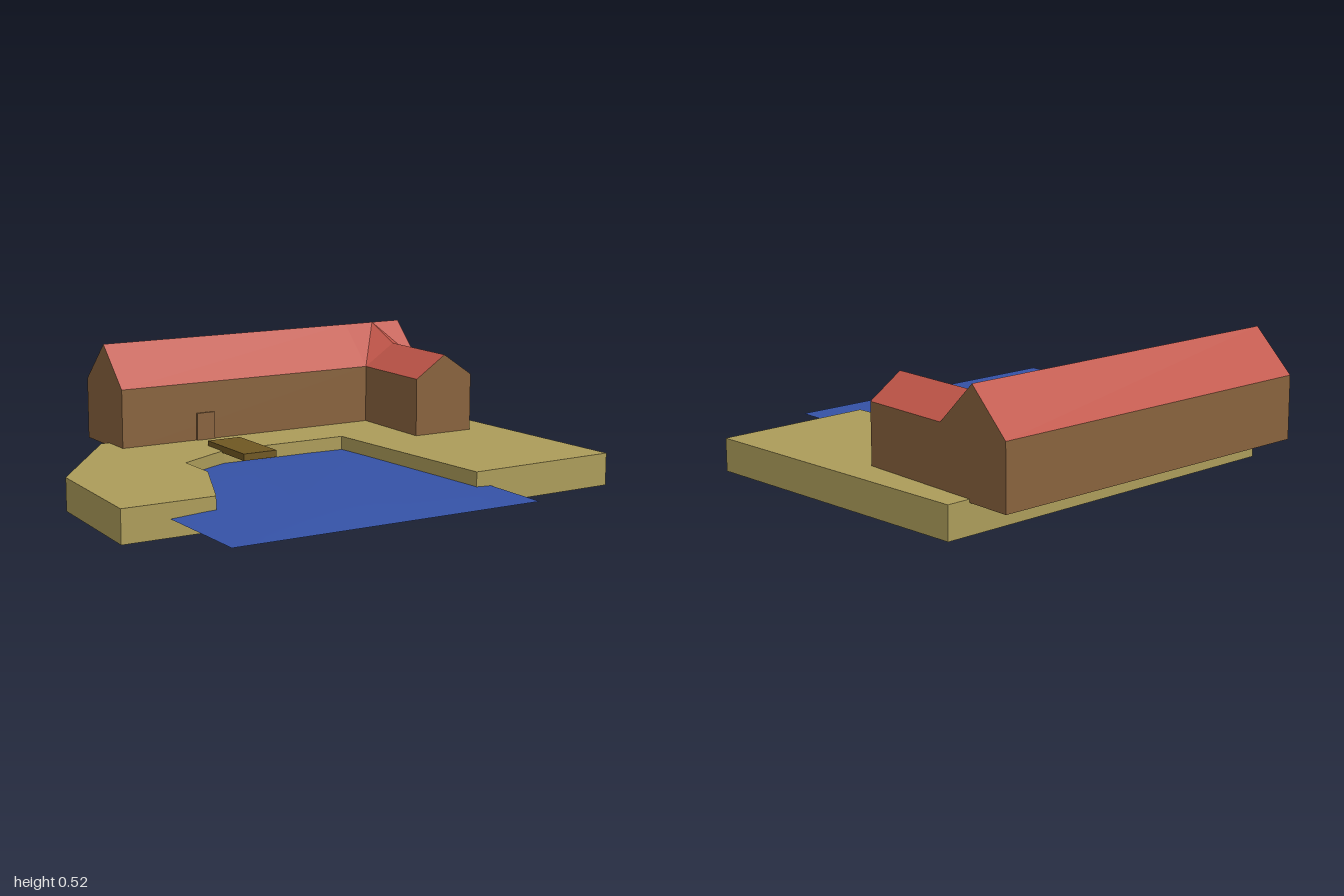
import * as THREE from 'three';

const mat = (name, color, side = THREE.FrontSide) => {
  const m = new THREE.MeshStandardMaterial({ color, side });
  m.name = name;
  return m;
};

// Flat faces from corner loops, fan-triangulated (counter-clockwise from outside)
function faces(name, loops, material) {
  const pos = [];
  for (const p of loops)
    for (let i = 1; i < p.length - 1; i++) pos.push(...p[0], ...p[i], ...p[i + 1]);
  const g = new THREE.BufferGeometry();
  g.setAttribute('position', new THREE.Float32BufferAttribute(pos, 3));
  g.computeVertexNormals();
  const mesh = new THREE.Mesh(g, material);
  mesh.name = name;
  return mesh;
}

function box(name, [x0, x1], [y0, y1], [z0, z1], material) {
  const mesh = new THREE.Mesh(new THREE.BoxGeometry(x1 - x0, y1 - y0, z1 - z0), material);
  mesh.position.set((x0 + x1) / 2, (y0 + y1) / 2, (z0 + z1) / 2);
  mesh.name = name;
  return mesh;
}

export function createModel() {
  const grass = mat('grass', 0xac9c5a);
  const wall = mat('wall', 0x88623d, THREE.DoubleSide);
  const tile = mat('roofTile', 0xc05548, THREE.DoubleSide);
  const sea = mat('water', 0x3552a6, THREE.DoubleSide);
  const plank = mat('plank', 0x6f5722);
  const dark = mat('darkLining', 0x050505);
  const model = new THREE.Group();
  model.name = 'waterfrontHouse';

  // Land slab with a bay cut into its front
  const outline = [
    [-0.61, -0.64], [-0.97, -0.15], [-1, 0.39], [-0.635, 0.39], [-0.48, 0.03], [-0.48, -0.15],
    [-0.25, -0.275], [0.29, -0.275], [0.37, 0.545], [1, 0.53], [0.915, -0.66],
  ];
  const shape = new THREE.Shape(outline.map(([x, z]) => new THREE.Vector2(x, -z)));
  const slab = new THREE.ExtrudeGeometry(shape, { depth: 0.127, bevelEnabled: false });
  slab.rotateX(-Math.PI / 2);
  const land = new THREE.Mesh(slab, grass);
  land.name = 'land';
  model.add(land);

  // Water sheet, slightly domed and rippled
  const sheet = new THREE.PlaneGeometry(1.25, 1.25, 8, 8);
  sheet.rotateX(-Math.PI / 2);
  const p = sheet.attributes.position;
  for (let i = 0; i < p.count; i++) {
    const u = p.getX(i) / 0.625, v = p.getZ(i) / 0.625;
    const dome = (1 - u * u) * (1 - v * v);
    p.setY(i, 0.067 + 0.014 * Math.sqrt(Math.max(dome, 0)) + 0.002 * dome * Math.sin(7 * u + 4 * v));
  }
  sheet.translate(-0.188, 0, 0.21);
  sheet.computeVertexNormals();
  const water = new THREE.Mesh(sheet, sea);
  water.name = 'water';
  model.add(water);

  // House: long main range with a wing at its left end, open underneath
  const x0 = -0.575, xw = 0.555, xm = 0.69, x1 = 0.822;
  const zb = -0.84, zr = -0.675, zf = -0.51, zw = -0.128;
  const yb = 0.115, ye = 0.36, yr = 0.52, yw = 0.45;
  const house = new THREE.Group();
  house.name = 'house';
  house.add(faces('walls', [
    [[x0, yb, zf], [xw, yb, zf], [xw, ye, zf], [x0, ye, zf]],
    [[x1, yb, zb], [x0, yb, zb], [x0, ye, zb], [x1, ye, zb]],
    [[x0, yb, zb], [x0, yb, zf], [x0, ye, zf], [x0, yr, zr], [x0, ye, zb]],
    [[x1, yb, zf], [x1, yb, zb], [x1, ye, zb], [x1, yr, zr], [x1, ye, zf]],
    [[x1, yb, zw], [x1, yb, zf], [x1, ye, zf], [x1, ye, zw]],
    [[xw, yb, zf], [xw, yb, zw], [xw, ye, zw], [xw, ye, zf]],
    [[xw, yb, zw], [x1, yb, zw], [x1, ye, zw], [xm, yw, zw], [xw, ye, zw]],
  ], wall));

  // Main slopes, then the folds that rise from the wing to the main ridge
  house.add(faces('mainRoof', [
    [[x0, ye, zf], [xw, ye, zf], [xw, yr, zr], [x0, yr, zr]],
    [[x1, ye, zb], [x0, ye, zb], [x0, yr, zr], [x1, yr, zr]],
    [[xw, ye, zf], [xm, yw, zf], [xm, yr, zr], [xw, yr, zr]],
    [[x1, ye, zf], [x1, yr, zr], [xm, yr, zr], [xm, yw, zf]],
  ], tile));
  house.add(faces('wingRoof', [
    [[xw, ye, zf], [xw, ye, zw], [xm, yw, zw], [xm, yw, zf]],
    [[x1, ye, zw], [x1, ye, zf], [xm, yw, zf], [xm, yw, zw]],
  ], tile));

  // Dark lining behind the front wall
  const zi = zf - 0.003;
  house.add(faces('wallLining', [
    [[xw, yb, zi], [x0, yb, zi], [x0, ye, zi], [xw, ye, zi]],
  ], dark));
  house.add(box('door', [-0.25, -0.17], [0.12, 0.237], [-0.515, -0.502], wall));
  model.add(house);

  // Landing stage over the water's edge
  model.add(box('jetty', [-0.262, -0.118], [0.12, 0.147], [-0.39, -0.092], plank));
  return model;
}
